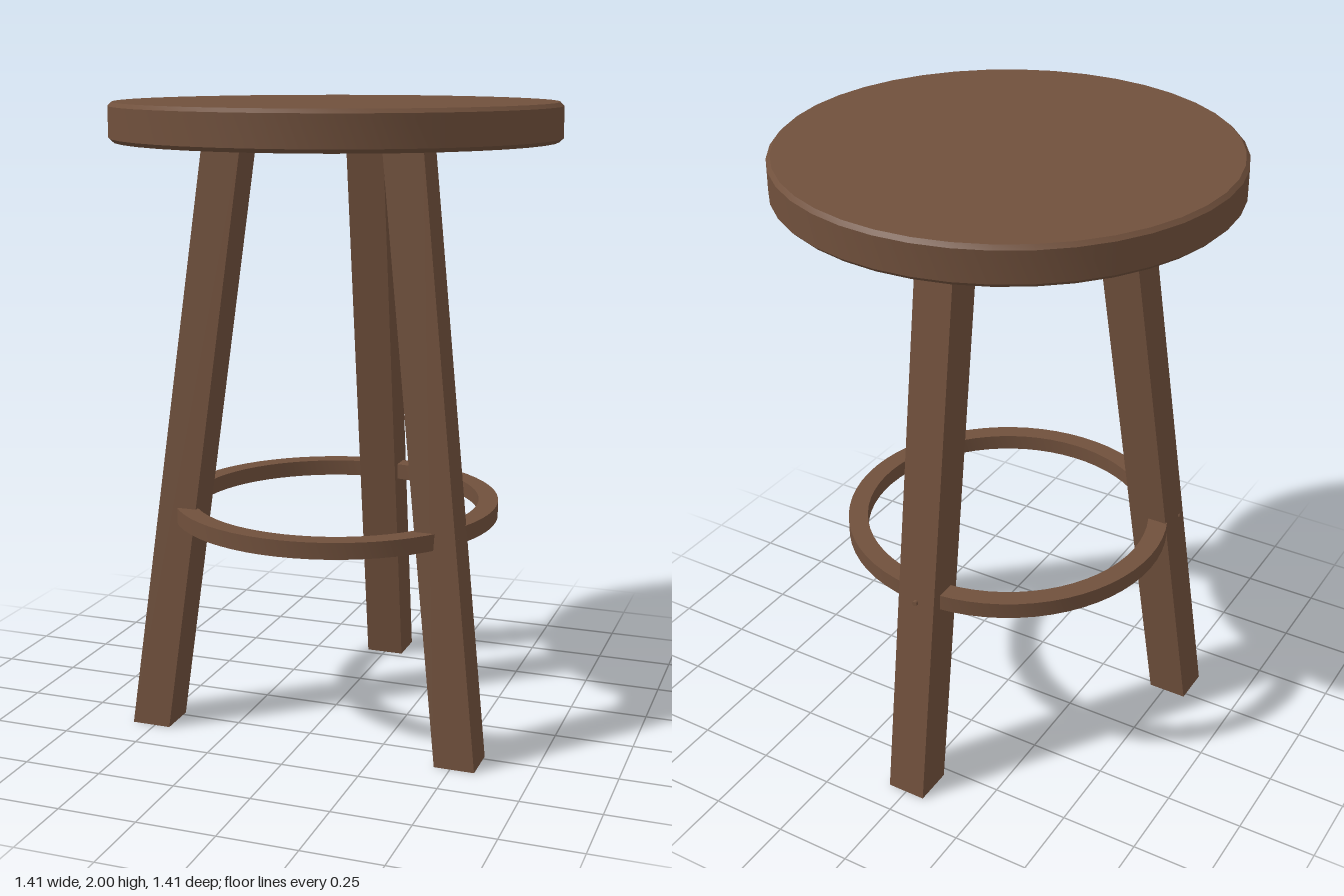
import * as THREE from 'three';
import { toCreasedNormals } from 'three/addons/utils/BufferGeometryUtils.js';

const wood = new THREE.MeshStandardMaterial({ color: 0x70503c });

const SEAT_BOTTOM = 1.88, LEG_WIDTH = 0.128;
const LEG_FOOT = 0.592, LEG_TOP = 0.335; // distance of the leg axis from the centre
const RING_Y = 0.705;

function addMesh(parent, name, geometry) {
  const mesh = new THREE.Mesh(geometry, wood);
  mesh.name = name;
  parent.add(mesh);
  return mesh;
}

// Turned part with crisp edges; profile runs from bottom to top on the outside
function turned(profile, segments) {
  const points = profile.map(([r, y]) => new THREE.Vector2(r, y));
  return toCreasedNormals(new THREE.LatheGeometry(points, segments), 0.5);
}

// Square leg leaning outwards, with its ends kept level
function legGeometry(dirX, dirZ) {
  const geo = new THREE.BoxGeometry(LEG_WIDTH, SEAT_BOTTOM, LEG_WIDTH);
  geo.translate(0, SEAT_BOTTOM / 2, 0);
  const p = geo.attributes.position;
  for (let i = 0; i < p.count; i++) {
    const r = THREE.MathUtils.lerp(LEG_FOOT, LEG_TOP, p.getY(i) / SEAT_BOTTOM);
    p.setX(i, p.getX(i) + r * dirX);
    p.setZ(i, p.getZ(i) + r * dirZ);
  }
  geo.computeVertexNormals();
  return geo;
}

export function createModel() {
  const stool = new THREE.Group();
  stool.name = 'stool';

  // Round seat with small chamfers
  addMesh(stool, 'seat', turned([
    [0, SEAT_BOTTOM], [0.692, SEAT_BOTTOM], [0.704, 1.892],
    [0.704, 1.988], [0.692, 2], [0, 2],
  ], 40));

  // Footrest ring passing through the legs
  const low = RING_Y - 0.026, high = RING_Y + 0.026;
  addMesh(stool, 'footRing', turned([
    [0.465, low], [0.528, low], [0.528, high], [0.465, high], [0.465, low],
  ], 64));

  // Three legs, each with a thin peg pinning the ring
  const places = [['left', 30], ['right', 150], ['back', 270]];
  for (const [side, degrees] of places) {
    const a = THREE.MathUtils.degToRad(degrees);
    const dx = Math.cos(a), dz = Math.sin(a);
    addMesh(stool, side + 'Leg', legGeometry(dx, dz));

    const peg = addMesh(stool, side + 'Peg', new THREE.CylinderGeometry(0.008, 0.008, 0.07, 12));
    peg.position.set(dx * 0.535, RING_Y, dz * 0.535);
    peg.quaternion.setFromUnitVectors(new THREE.Vector3(0, 1, 0), new THREE.Vector3(dx, 0, dz));
  }
  return stool;
}
